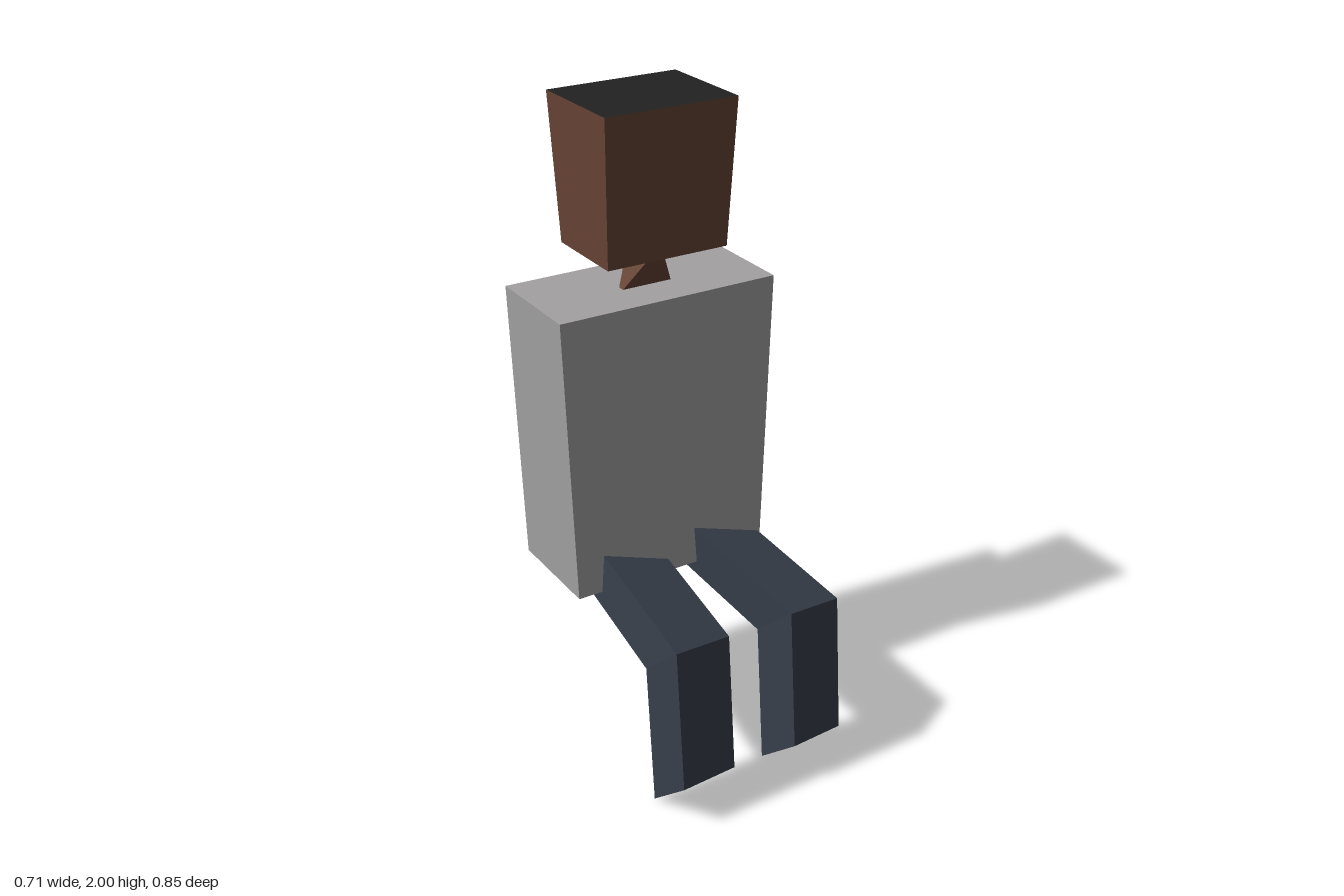
import * as THREE from 'three';

const mat = (name, color) => {
  const m = new THREE.MeshStandardMaterial({ color });
  m.name = name;
  return m;
};

// Flat-faced solid through cross-sections listed bottom to top, corners counterclockwise from above.
// paint(part, side) picks a material index for each face.
function loft(name, sections, materials, paint = () => 0) {
  const pos = [];
  const geo = new THREE.BufferGeometry();
  const face = (pts, index) => {
    const start = pos.length / 3;
    for (let i = 1; i < pts.length - 1; i++) pos.push(...pts[0], ...pts[i], ...pts[i + 1]);
    geo.addGroup(start, pos.length / 3 - start, index);
  };
  const n = sections[0].length;
  for (let k = 0; k < sections.length - 1; k++) {
    const a = sections[k], b = sections[k + 1];
    for (let i = 0; i < n; i++) {
      const j = (i + 1) % n;
      face([a[i], a[j], b[j], b[i]], paint('side', i));
    }
  }
  face([...sections[0]].reverse(), paint('bottom'));
  face(sections[sections.length - 1], paint('top'));
  geo.setAttribute('position', new THREE.Float32BufferAttribute(pos, 3));
  geo.computeVertexNormals();
  const mesh = new THREE.Mesh(geo, materials);
  mesh.name = name;
  return mesh;
}

// Rectangle section; sides run front, left, back, right
const rect = (y, hx, zFront, zBack) => [[-hx, y, zFront], [hx, y, zFront], [hx, y, zBack], [-hx, y, zBack]];

export function createModel() {
  const skin = mat('skin', 0x664434);
  const hair = mat('hair', 0x222222);
  const shirt = mat('shirt', 0xa3a1a1);
  const trousers = mat('trousers', 0x373f4a);

  const group = new THREE.Group();
  group.name = 'seatedFigure';

  // Torso, slightly wider at the shoulders
  group.add(loft('torso', [rect(0.54, 0.325, -0.09, -0.428), rect(1.44, 0.355, -0.09, -0.428)], [shirt]));

  // Neck, twisting from a wide edge to a deep edge
  group.add(loft('neck', [rect(1.44, 0.08, -0.222, -0.245), rect(1.56, 0.015, -0.155, -0.3)], [skin]));

  // Head, with hair on the top and back faces
  group.add(loft('head', [rect(1.56, 0.195, -0.1, -0.375), rect(2, 0.21, -0.072, -0.405)], [skin, hair],
    (part, side) => (part === 'top' || side === 2 ? 1 : 0)));

  // Bent legs with a triangular section: foot, knee, hip
  const leg = (name, x, hipShift) => {
    const foot = [[x, 0.15, 0.425], [x + 0.23, 0.08, 0.34], [x, 0, 0.255]];
    const move = (pts, dx, dy, dz) => pts.map(p => [p[0] + dx, p[1] + dy, p[2] + dz]);
    const knee = move(foot, 0, 0.45, -0.04);
    const hip = move(knee, hipShift, 0.065, -0.485);
    group.add(loft(name, [foot, knee, hip], [trousers]));
  };
  leg('rightLeg', -0.272, 0.036);
  leg('leftLeg', 0.117, -0.036);

  return group;
}
